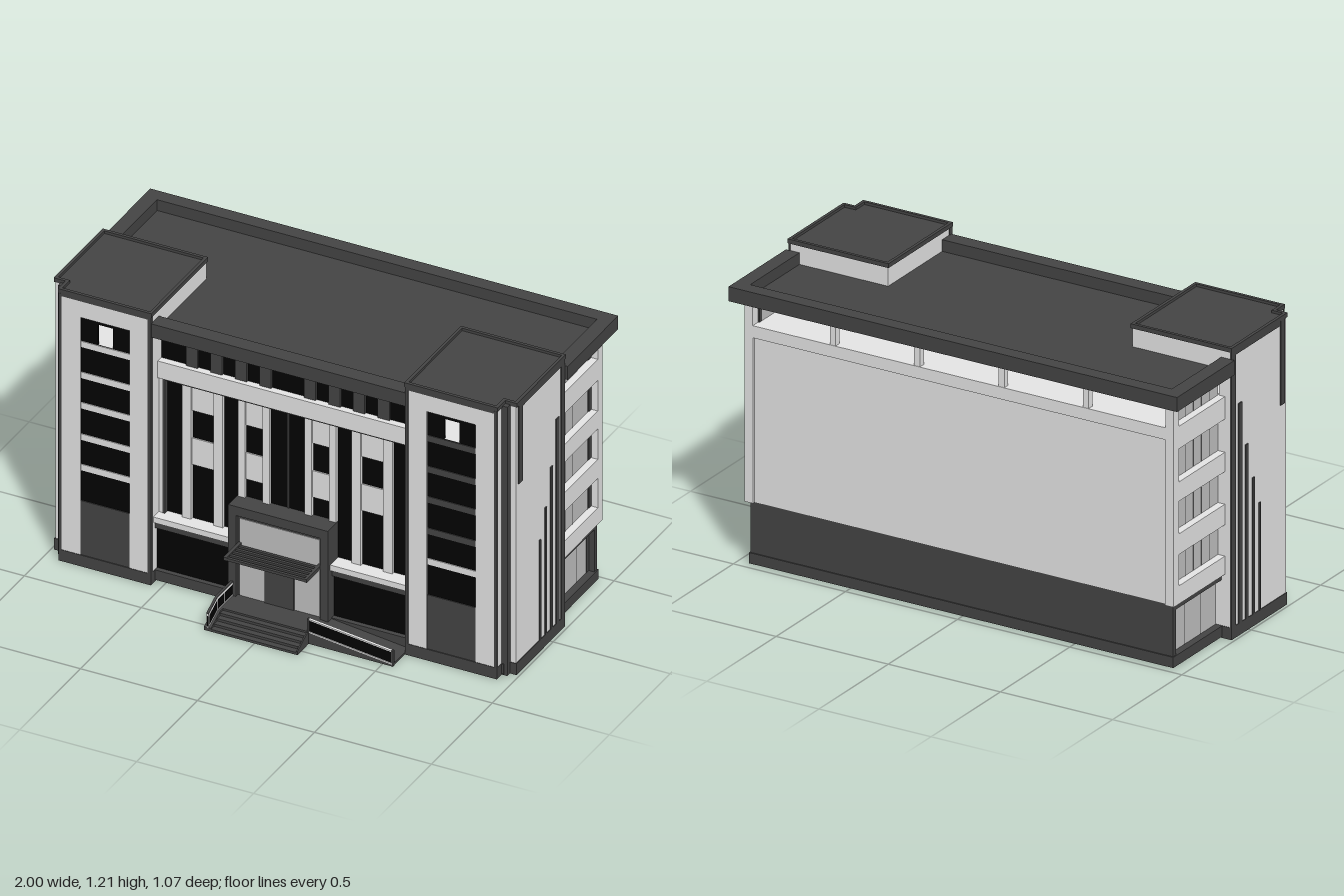
import * as THREE from 'three';

const mat = (name, color) => Object.assign(new THREE.MeshStandardMaterial({ color }), { name });

export function createModel() {
  const dark = mat('dark grey', 0x444444), light = mat('light grey', 0xe5e5e5);
  const black = mat('black glass', 0x020202), glass = mat('grey glass', 0xc0c0c0);
  const white = mat('white rail', 0xffffff);
  const root = new THREE.Group();
  root.name = 'building';

  const box = (name, m, x0, x1, y0, y1, z0, z1) => {
    const mesh = new THREE.Mesh(new THREE.BoxGeometry(x1 - x0, y1 - y0, z1 - z0), m);
    mesh.position.set((x0 + x1) / 2, (y0 + y1) / 2, (z0 + z1) / 2);
    mesh.name = name;
    root.add(mesh);
  };
  // The same box on both sides of the building
  const pair = (name, m, x0, x1, ...r) => {
    box(name + 'Left', m, x0, x1, ...r);
    box(name + 'Right', m, -x1, -x0, ...r);
  };
  // Flat outline pushed out along z, or along x when turned
  const prism = (name, m, pts, depth, at, alongX = false) => {
    const shape = new THREE.Shape(pts.map(([a, b]) => new THREE.Vector2(alongX ? -a : a, b)));
    const g = new THREE.ExtrudeGeometry(shape, { depth, bevelEnabled: false });
    if (alongX) g.rotateY(Math.PI / 2).translate(at, 0, 0);
    else g.translate(0, 0, at);
    const mesh = new THREE.Mesh(g, m);
    mesh.name = name;
    root.add(mesh);
  };

  // Main block: dark ground floor, light upper floors, framed back wall
  box('plinth', dark, -0.946, 0.946, 0.006, 0.05, -0.475, 0.305);
  box('groundFloor', dark, -0.912, 0.912, 0.05, 0.265, -0.47, 0.245);
  box('upperFloors', light, -0.922, 0.922, 0.265, 1.0, -0.48, 0.245);
  box('backFrameTop', light, -0.935, 0.935, 0.95, 1.0, -0.49, -0.45);
  pair('backFrameSide', light, 0.918, 0.936, 0.265, 0.95, -0.49, -0.45);

  // Wing side walls: corner pier and bands around recessed windows
  pair('wingCorner', light, 0.92, 0.957, 0.265, 1.1, -0.49, -0.45);
  for (const [y0, y1] of [[0.265, 0.34], [0.47, 0.555], [0.69, 0.77], [0.907, 1.0]])
    pair('wingBand', light, 0.915, 0.957, y0, y1, -0.45, -0.12);
  pair('groundCorner', dark, 0.91, 0.942, 0.05, 0.265, -0.47, -0.45);
  pair('groundLintel', dark, 0.91, 0.942, 0.238, 0.265, -0.45, -0.12);
  const sideWindow = (y0, y1, bars, x) => {
    pair('sideGlass', glass, x - 0.008, x + 0.003, y0, y1, -0.43, -0.12);
    pair('sidePier', dark, x - 0.008, x + 0.006, y0, y1, -0.45, -0.43);
    for (const z of bars) pair('sideBar', dark, x, x + 0.004, y0, y1, z - 0.001, z + 0.001);
  };
  const bars = [-0.182, -0.24, -0.298, -0.358, -0.42];
  for (const [y0, y1] of [[0.34, 0.47], [0.555, 0.69], [0.77, 0.907], [1.0, 1.1]]) sideWindow(y0, y1, bars, 0.923);
  sideWindow(0.05, 0.238, [-0.234, -0.349], 0.913);

  // Open top storey with back posts
  for (let i = 0; i < 6; i++) {
    const x = -0.94 + i * 0.376;
    box('backPost', light, x - 0.013, x + 0.013, 1.0, 1.1, -0.488, -0.46);
  }

  // Roof slab with raised rim
  box('roofSlab', dark, -1, 1, 1.1, 1.112, -0.535, -0.12);
  box('roofSlabFront', dark, -0.55, 0.55, 1.1, 1.112, -0.12, 0.335);
  box('roofRimBack', dark, -1, 1, 1.112, 1.16, -0.535, -0.475);
  pair('roofRimSide', dark, 0.94, 1, 1.112, 1.16, -0.475, -0.12);
  box('roofRimFront', dark, -0.55, 0.55, 1.112, 1.16, 0.27, 0.335);

  // Corner towers: solid below, hollow at the top storey
  pair('towerBody', light, 0.545, 0.935, 0.05, 1.0, -0.12, 0.33);
  pair('towerFlank', light, 0.93, 0.985, 0.05, 1.0, -0.12, 0.275);
  pair('towerTopOuterWall', light, 0.93, 0.985, 1.0, 1.105, -0.12, 0.275);
  pair('towerTopInnerWall', light, 0.545, 0.56, 1.0, 1.105, -0.12, 0.33);
  pair('towerTopFrontOuter', light, 0.845, 0.935, 1.0, 1.105, 0.27, 0.33);
  pair('towerTopFrontInner', light, 0.56, 0.635, 1.0, 1.105, 0.27, 0.33);
  pair('towerHead', light, 0.545, 0.935, 1.105, 1.19, -0.12, 0.33);
  pair('towerHeadFlank', light, 0.93, 0.985, 1.105, 1.19, -0.12, 0.275);
  pair('towerCornerStep', dark, 0.93, 0.96, 0, 1.195, 0.27, 0.3);
  pair('towerBase', dark, 0.543, 0.937, 0, 0.05, -0.122, 0.34);
  pair('towerBaseFlank', dark, 0.93, 0.988, 0, 0.05, -0.122, 0.278);

  // Tower roof with a thin raised rim
  pair('towerRoof', dark, 0.545, 0.937, 1.19, 1.197, -0.12, 0.335);
  pair('towerRoofFlank', dark, 0.935, 0.986, 1.19, 1.197, -0.12, 0.275);
  pair('towerRimBack', dark, 0.54, 0.99, 1.19, 1.208, -0.125, -0.112);
  pair('towerRimInner', dark, 0.54, 0.553, 1.19, 1.208, -0.112, 0.34);
  pair('towerRimFront', dark, 0.553, 0.94, 1.19, 1.208, 0.327, 0.34);
  pair('towerRimOuter', dark, 0.977, 0.99, 1.19, 1.208, -0.112, 0.278);
  pair('towerRimReturn', dark, 0.927, 0.977, 1.19, 1.208, 0.265, 0.278);
  pair('towerRimCorner', dark, 0.927, 0.94, 1.19, 1.208, 0.278, 0.327);

  // Tower front: raised frame around the window strip
  pair('towerFrontOuter', light, 0.845, 0.935, 0.05, 1.19, 0.33, 0.338);
  pair('towerFrontInner', light, 0.555, 0.635, 0.05, 1.19, 0.33, 0.338);
  pair('towerFrontTop', light, 0.635, 0.845, 1.105, 1.19, 0.33, 0.338);
  pair('towerEdgeInner', dark, 0.543, 0.557, 0.05, 1.19, 0.32, 0.34);
  pair('towerEdgeOuter', dark, 0.925, 0.937, 0.05, 1.19, 0.333, 0.341);
  pair('towerEdgeTop', dark, 0.557, 0.925, 1.178, 1.19, 0.33, 0.34);
  pair('towerLowPanel', dark, 0.635, 0.845, 0.05, 0.29, 0.33, 0.336);
  pair('towerWindow', black, 0.635, 0.845, 0.29, 1.0, 0.33, 0.332);
  pair('towerTopWindowOuter', black, 0.772, 0.845, 1.0, 1.105, 0.324, 0.332);
  pair('towerTopWindowInner', black, 0.635, 0.708, 1.0, 1.105, 0.324, 0.332);
  pair('towerTopWindowHead', black, 0.708, 0.772, 1.09, 1.105, 0.324, 0.332);
  [[0.425, 0.452], [0.56, 0.587], [0.7, 0.727], [0.835, 0.862], [0.973, 0.999]].forEach(([y0, y1], i) => {
    box('towerBandLeft', i ? dark : light, 0.637, 0.843, y0, y1, 0.33, 0.336);
    box('towerBandRight', light, -0.843, -0.637, y0, y1, 0.33, 0.336);
  });

  // Tower flank trim and stepped fins
  pair('flankTop', dark, 0.98, 0.988, 1.17, 1.19, -0.12, 0.23);
  pair('flankBack', dark, 0.98, 0.988, 0.05, 1.19, -0.122, -0.09);
  pair('flankDrop', dark, 0.98, 0.99, 0.84, 1.19, 0.23, 0.26);
  for (const [z0, z1, y] of [[0.078, 0.088, 0.495], [0.03, 0.043, 0.615], [-0.02, -0.002, 0.77], [-0.072, -0.047, 0.96]])
    pair('flankFin', dark, 0.98, 0.99, 0.05, y, z0, z1);

  // Central front: top storey windows, beam, tall glazing
  box('topGlazing', black, -0.545, 0.545, 0.965, 1.1, 0.24, 0.25);
  for (const x of [0.095, 0.2, 0.305, 0.41]) pair('topPier', dark, x - 0.025, x + 0.025, 0.965, 1.1, 0.245, 0.26);
  box('beam', light, -0.545, 0.545, 0.89, 0.965, 0.24, 0.28);
  box('tallGlazing', black, -0.525, 0.525, 0.29, 0.89, 0.24, 0.25);
  pair('glazingEdge', light, 0.528, 0.545, 0.29, 0.89, 0.24, 0.27);
  pair('glazingTrim', dark, 0.518, 0.528, 0.29, 0.89, 0.24, 0.272);
  box('glazingTrimTop', dark, -0.528, 0.528, 0.882, 0.89, 0.24, 0.272);
  for (const [x0, x1, w] of [[0.105, 0.18, 0.03], [0.315, 0.41, 0.04]]) {
    pair('pilasterInner', light, x0 - w, x0, 0.29, 0.882, 0.245, 0.264);
    pair('pilasterOuter', light, x1, x1 + w, 0.29, 0.882, 0.245, 0.264);
    for (const y of [0.53, 0.77]) pair('spandrel', light, x0, x1, y, y + 0.118, 0.245, 0.256);
  }
  box('centreBar', dark, -0.003, 0.003, 0.45, 0.882, 0.245, 0.254);

  // Ground floor front
  box('sill', light, -0.545, 0.545, 0.265, 0.29, 0.24, 0.315);
  box('lintel', dark, -0.545, 0.545, 0.235, 0.265, 0.24, 0.302);
  box('lowerGlazing', black, -0.545, 0.545, 0.05, 0.235, 0.24, 0.285);

  // Entrance portal and door
  box('portalSideRight', dark, -0.215, -0.182, 0, 0.45, 0.24, 0.335);
  box('portalSideLeft', dark, 0.178, 0.211, 0, 0.45, 0.24, 0.335);
  box('portalHead', dark, -0.182, 0.178, 0.41, 0.45, 0.24, 0.335);
  box('portalRecess', dark, -0.182, 0.178, 0.05, 0.41, 0.24, 0.317);
  box('portalGlass', glass, -0.172, 0.168, 0.05, 0.392, 0.24, 0.32);
  box('door', dark, -0.065, 0.06, 0.05, 0.2, 0.29, 0.325);

  // Slatted canopy
  pair('canopyArm', dark, 0.165, 0.178, 0.272, 0.286, 0.31, 0.445);
  for (let i = 0; i < 5; i++) {
    const z = 0.335 + i * 0.0245;
    box('canopySlat', dark, -0.178, 0.178, 0.273, 0.285, z, z + 0.012);
  }

  // Landing, steps and ramp
  box('landing', dark, -0.2, 0.184, 0, 0.05, 0.24, 0.435);
  for (let i = 0; i < 4; i++) box('step', dark, -0.19, 0.18, 0, 0.042 - i * 0.0105, 0.42, 0.458 + i * 0.025);
  const stairProfile = [[0.335, 0], [0.533, 0], [0.533, 0.015], [0.46, 0.05], [0.335, 0.05]];
  prism('stairSideRight', dark, stairProfile, 0.03, -0.215, true);
  prism('stairSideLeft', dark, stairProfile, 0.006, 0.178, true);
  prism('ramp', dark, [[0.18, 0], [0.543, 0], [0.543, 0.008], [0.18, 0.05]], 0.2, 0.24);

  // Railings: black infill, white rails and posts, dark handrail
  const slopeBand = (y0, y1) => [[0.335, y0], [0.46, y0], [0.533, y0 - 0.035], [0.533, y1 - 0.035], [0.46, y1], [0.335, y1]];
  prism('stairRailPanel', black, slopeBand(0.054, 0.1), 0.006, -0.203, true);
  prism('stairRailLow', white, slopeBand(0.05, 0.054), 0.01, -0.205, true);
  prism('stairRailTop', white, slopeBand(0.1, 0.109), 0.01, -0.205, true);
  prism('stairHandrail', dark, slopeBand(0.109, 0.114), 0.01, -0.205, true);
  for (const [z, y] of [[0.4, 0.05], [0.46, 0.05], [0.53, 0.018]]) box('stairPost', white, -0.205, -0.195, y, y + 0.055, z - 0.002, z + 0.002);
  prism('rampRailPanel', black, [[0.18, 0.055], [0.54, 0.013], [0.54, 0.062], [0.18, 0.104]], 0.006, 0.431);
  for (const y of [0.05, 0.105])
    prism('rampRail', white, [[0.18, y], [0.54, y - 0.042], [0.54, y - 0.037], [0.18, y + 0.005]], 0.012, 0.429);
  box('rampPostTop', dark, 0.177, 0.185, 0.03, 0.11, 0.43, 0.441);
  box('rampPostEnd', dark, 0.537, 0.545, 0, 0.07, 0.43, 0.441);

  return root;
}
